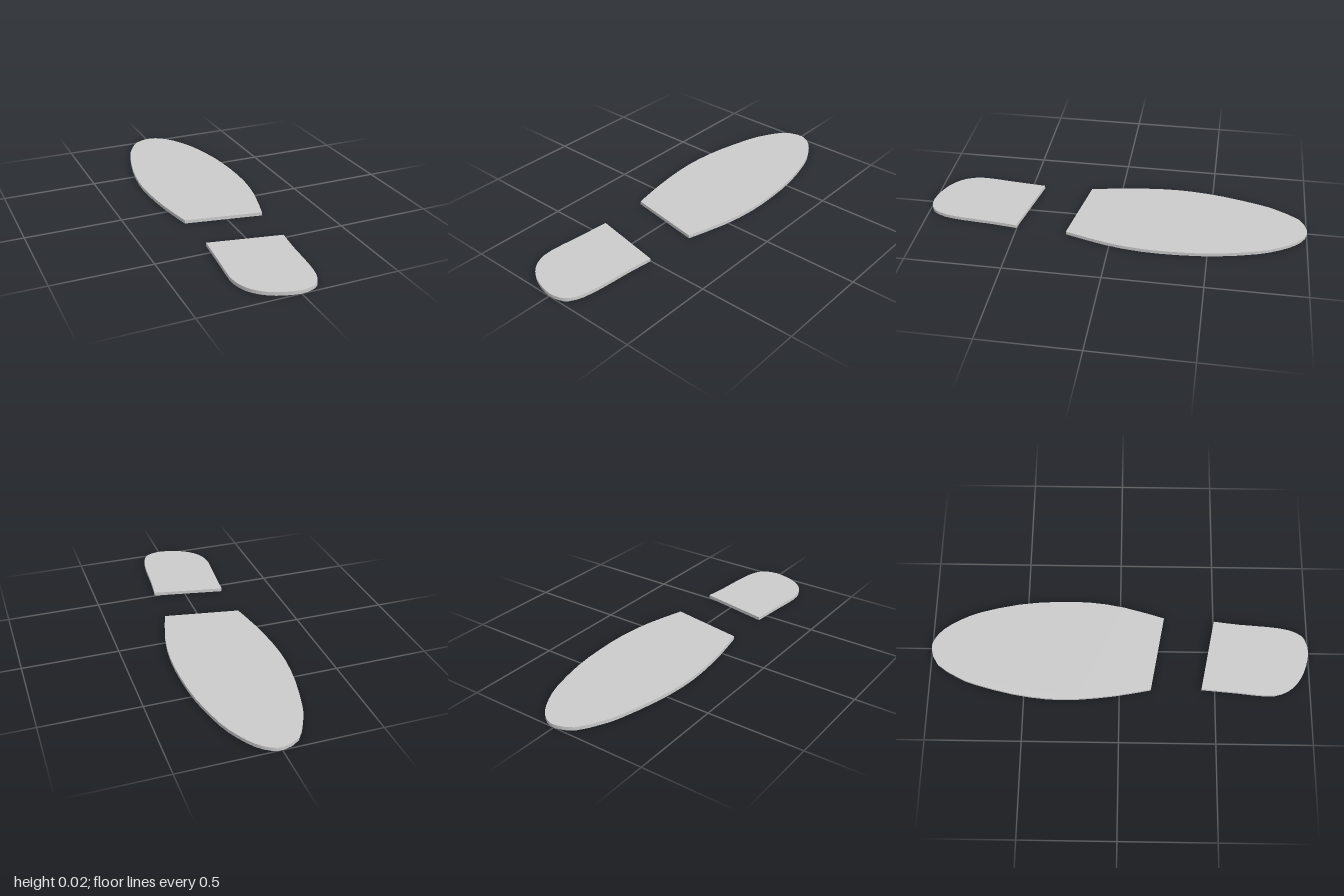
import * as THREE from 'three';
import { toCreasedNormals } from 'three/addons/utils/BufferGeometryUtils.js';

const THICKNESS = 0.018;

// Flat plate: a smooth curve through [x, z] points, closed by one straight edge
function plate(name, points, material) {
  const curve = new THREE.SplineCurve(points.map(([x, z]) => new THREE.Vector2(x, z)));
  const shape = new THREE.Shape(curve.getPoints((points.length - 1) * 2));
  const geometry = new THREE.ExtrudeGeometry(shape, { depth: THICKNESS, bevelEnabled: false });
  geometry.rotateX(Math.PI / 2).translate(0, THICKNESS, 0);
  const mesh = new THREE.Mesh(toCreasedNormals(geometry, 0.6), material);
  mesh.name = name;
  return mesh;
}

export function createModel() {
  const group = new THREE.Group();
  group.name = 'shoePrint';
  const material = new THREE.MeshStandardMaterial({ color: 0xcccccc });

  // Long front plate, from the left end of its slanted edge round the toe
  group.add(plate('sole', [
    [0.185, 0.235], [0.245, 0.02], [0.272, -0.17], [0.272, -0.36], [0.254, -0.55],
    [0.207, -0.75], [0.16, -0.86], [0.106, -0.943], [0.048, -0.99], [-0.01, -1],
    [-0.095, -0.962], [-0.164, -0.85], [-0.2, -0.76], [-0.25, -0.56], [-0.274, -0.38],
    [-0.274, -0.22], [-0.252, -0.02], [-0.217, 0.165],
  ], material));

  // Short plate with a rounded back
  group.add(plate('heel', [
    [-0.212, 0.43], [-0.228, 0.62], [-0.242, 0.77], [-0.23, 0.85], [-0.196, 0.91],
    [-0.143, 0.955], [-0.074, 0.985], [0, 1], [0.058, 0.99], [0.097, 0.965],
    [0.127, 0.9], [0.143, 0.795], [0.154, 0.64], [0.17, 0.503],
  ], material));

  return group;
}
